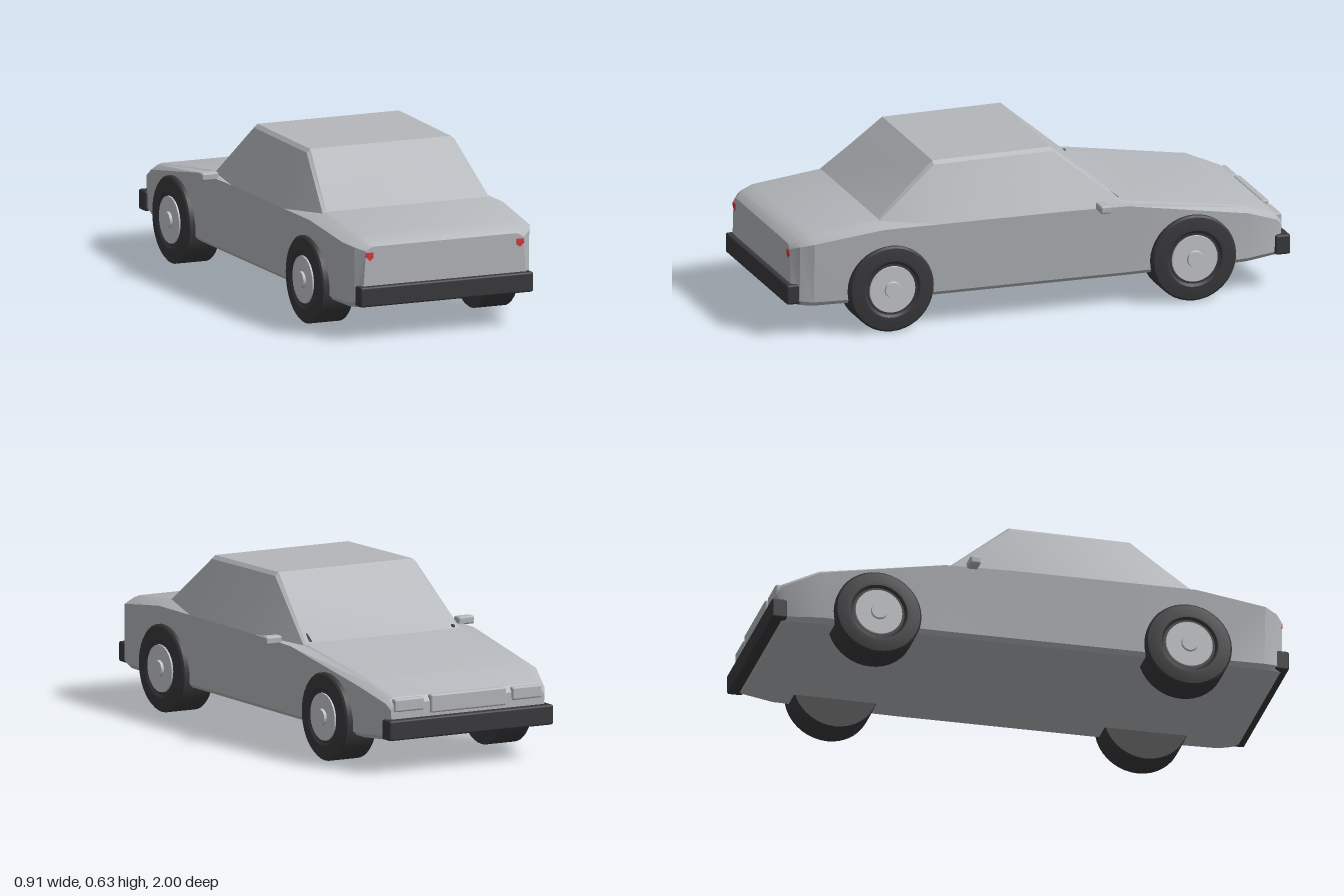
import * as THREE from 'three';
import { toCreasedNormals } from 'three/addons/utils/BufferGeometryUtils.js';
import { RoundedBoxGeometry } from 'three/addons/geometries/RoundedBoxGeometry.js';

const paint = (name, color) => {
  const m = new THREE.MeshStandardMaterial({ color });
  m.name = name;
  return m;
};

// Half cross-sections: z, then x,y pairs: sill, lower side, belt, shoulder, top edge
const SECTIONS = [
  [-0.97, 0.32, 0.135, 0.33, 0.15, 0.335, 0.24, 0.325, 0.255, 0.31, 0.262],
  [-0.95, 0.33, 0.125, 0.343, 0.14, 0.347, 0.265, 0.33, 0.278, 0.315, 0.285],
  [-0.82, 0.36, 0.118, 0.378, 0.135, 0.387, 0.315, 0.36, 0.332, 0.345, 0.337],
  [-0.34, 0.365, 0.115, 0.38, 0.13, 0.4, 0.395, 0.343, 0.393, 0.333, 0.398],
  [-0.07, 0.365, 0.115, 0.38, 0.13, 0.4, 0.4, 0.307, 0.613, 0.292, 0.626],
  [0.4, 0.365, 0.115, 0.38, 0.13, 0.4, 0.4, 0.305, 0.606, 0.29, 0.619],
  [0.63, 0.365, 0.115, 0.38, 0.13, 0.4, 0.4, 0.345, 0.42, 0.33, 0.425],
  [0.9, 0.36, 0.118, 0.375, 0.135, 0.387, 0.365, 0.345, 0.387, 0.325, 0.392],
  [0.95, 0.345, 0.122, 0.36, 0.14, 0.36, 0.352, 0.33, 0.37, 0.31, 0.376],
  [0.978, 0.325, 0.13, 0.34, 0.15, 0.325, 0.338, 0.31, 0.35, 0.295, 0.355],
];

function bodyGeometry() {
  const pos = [], index = [], n = 10;
  for (const [z, ...p] of SECTIONS) {
    for (let k = 0; k < 5; k++) pos.push(p[2 * k], p[2 * k + 1], z);
    for (let k = 4; k >= 0; k--) pos.push(-p[2 * k], p[2 * k + 1], z);
  }
  for (let i = 0; i < SECTIONS.length - 1; i++) {
    for (let j = 0; j < n; j++) {
      const a = i * n + j, b = i * n + (j + 1) % n, c = a + n, d = b + n;
      // diagonals mirror left to right and turn around behind the doors
      if ((j < 5) !== (i >= 5)) index.push(a, b, c, b, d, c);
      else index.push(a, b, d, a, d, c);
    }
  }
  const last = (SECTIONS.length - 1) * n;
  for (let j = 1; j < n - 1; j++) {
    index.push(0, j + 1, j);
    index.push(last, last + j, last + j + 1);
  }
  const g = new THREE.BufferGeometry();
  g.setAttribute('position', new THREE.Float32BufferAttribute(pos, 3));
  g.setIndex(index);
  return toCreasedNormals(g, 0.4);
}

export function createModel() {
  const car = new THREE.Group();
  car.name = 'car';
  const silver = paint('silver paint', 0xb4b7bb);
  const alloy = paint('wheel alloy', 0xc6c8ca);
  const rubber = paint('black rubber', 0x39383b);
  const red = paint('red lens', 0xd83838);

  const add = (parent, name, geo, mat, x = 0, y = 0, z = 0) => {
    const m = new THREE.Mesh(geo, mat);
    m.name = name;
    m.position.set(x, y, z);
    parent.add(m);
    return m;
  };
  const box = (name, w, h, d, mat, x, y, z, r = 0.008) =>
    add(car, name, new RoundedBoxGeometry(w, h, d, 2, r), mat, x, y, z);

  add(car, 'body', bodyGeometry(), silver);

  // Bumpers
  box('noseBumper', 0.715, 0.077, 0.06, rubber, 0, 0.167, -0.97);
  box('tailBumper', 0.715, 0.077, 0.06, rubber, 0, 0.167, 0.97);

  // Grille and headlights
  box('grille', 0.33, 0.07, 0.03, silver, 0, 0.252, -0.965);
  for (const s of [-1, 1]) {
    box('headlight', 0.13, 0.05, 0.03, silver, s * 0.257, 0.257, -0.962);
    box('mirror', 0.07, 0.031, 0.042, silver, s * 0.42, 0.406, -0.235);

    // Tail lamp: a thin tapered plate
    const lens = new THREE.Shape([
      new THREE.Vector2(s * 0.296, 0.333), new THREE.Vector2(s * 0.325, 0.333),
      new THREE.Vector2(s * 0.328, 0.318), new THREE.Vector2(s * 0.31, 0.302),
      new THREE.Vector2(s * 0.297, 0.312),
    ]);
    add(car, 'tailLamp', new THREE.ExtrudeGeometry(lens, { depth: 0.008, bevelEnabled: false }),
      red, 0, 0, 0.973);
  }

  // Wiper pivots
  box('wiperPivot', 0.016, 0.016, 0.016, rubber, -0.315, 0.404, -0.328, 0.006);
  const wiper = box('wiper', 0.014, 0.012, 0.045, rubber, 0.308, 0.413, -0.315, 0.005);
  wiper.rotation.x = -0.65;

  // Wheels: tyre with stepped sidewall, alloy disc and hub cap, turned about x
  const V = (r, h) => new THREE.Vector2(r, h);
  const tyre = toCreasedNormals(new THREE.LatheGeometry([
    V(0, -0.0675), V(0.163, -0.0675), V(0.167, -0.063), V(0.167, 0.061),
    V(0.16, 0.0675), V(0.122, 0.073), V(0.11, 0.073), V(0.1, 0.066), V(0, 0.066),
  ], 40), 0.5);
  for (const s of [-1, 1]) {
    for (const z of [-0.6, 0.6]) {
      const wheel = new THREE.Group();
      wheel.name = 'wheel';
      wheel.position.set(s * 0.3425, 0.167, z);
      wheel.rotation.z = -s * Math.PI / 2;
      add(wheel, 'tyre', tyre, rubber);
      add(wheel, 'rim', new THREE.CylinderGeometry(0.09, 0.092, 0.012, 32), alloy, 0, 0.066, 0);
      add(wheel, 'hubCap', new THREE.CylinderGeometry(0.03, 0.034, 0.02, 24), alloy, 0, 0.072, 0);
      car.add(wheel);
    }
  }
  return car;
}
